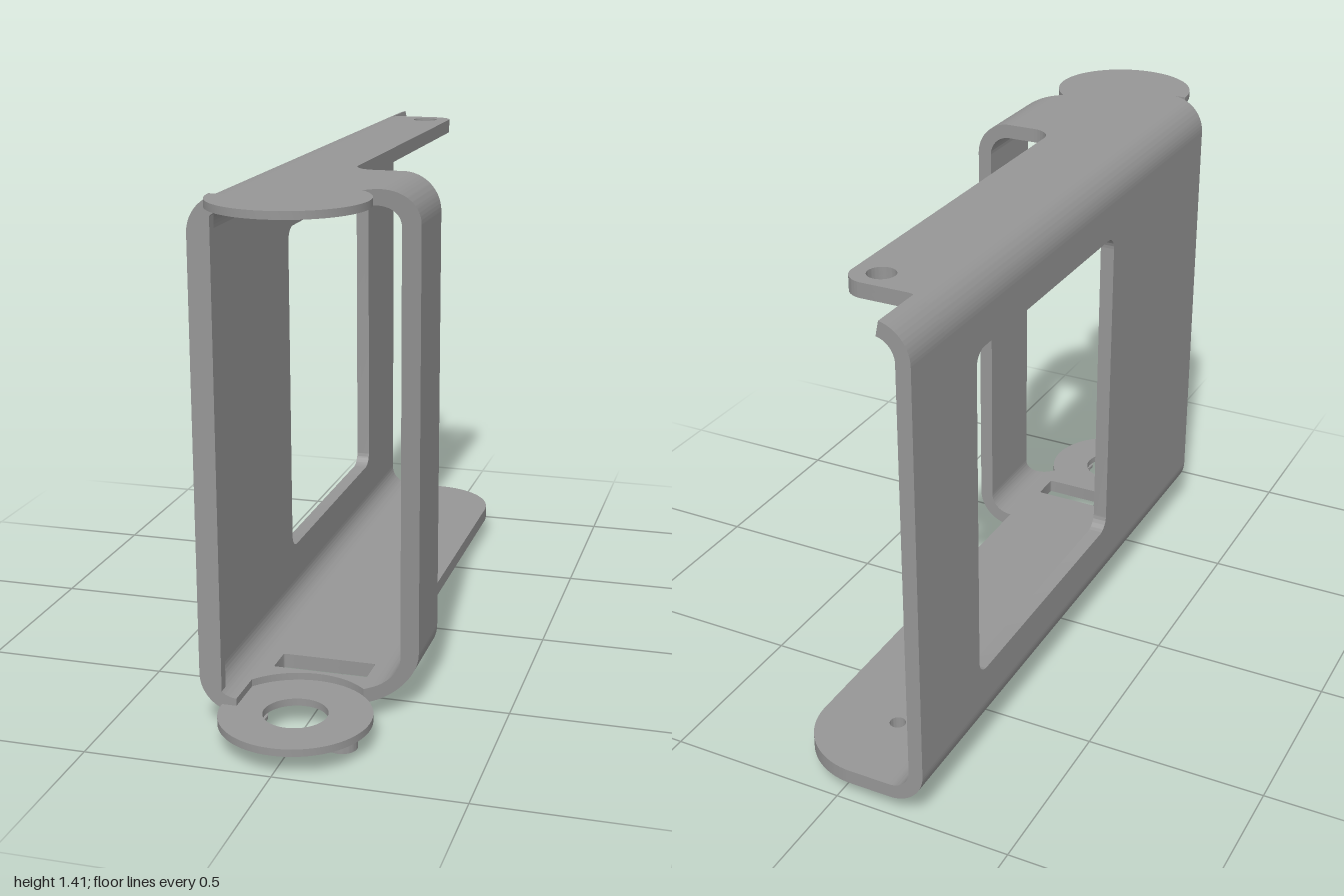
import * as THREE from 'three';
import { toCreasedNormals } from 'three/addons/utils/BufferGeometryUtils.js';

const R = 0.1, T = 0.04;              // corner radius and sheet thickness
const TOP = 1.41, BASE = 0.058;       // outer faces of the two plates
const XC = 0.16;                      // where plates meet the rounded corners
const DZ = 0.8, DR = 0.2;             // front disc centre and radius

export function createModel() {
  const group = new THREE.Group();
  const grey = new THREE.MeshStandardMaterial({ color: 0x969696 });
  grey.name = 'grey';

  const add = (name, geo) => {
    const mesh = new THREE.Mesh(toCreasedNormals(geo, 0.5), grey);
    mesh.name = name;
    group.add(mesh);
  };
  const extrude = (shape, depth) =>
    new THREE.ExtrudeGeometry(shape, { depth, bevelEnabled: false, curveSegments: 24 });
  // Extrude an (x, z) outline downwards from height y
  const slab = (name, shape, y, depth) =>
    add(name, extrude(shape, depth).rotateX(Math.PI / 2).translate(0, y, 0));
  const circle = (x, z, r) => new THREE.Path().absarc(x, z, r, 0, Math.PI * 2, true);
  const ring = (name, x, z, r, hole, y, depth) => {
    const s = new THREE.Shape().absarc(x, z, r, 0, Math.PI * 2, false);
    if (hole) s.holes.push(circle(x, z, hole));
    slab(name, s, y, depth);
  };
  const rect = (x0, y0, x1, y1, r) => {
    const p = new THREE.Path();
    p.moveTo(x0 + r, y0);
    p.lineTo(x1 - r, y0);
    p.absarc(x1 - r, y0 + r, r, -Math.PI / 2, 0, false);
    p.lineTo(x1, y1 - r);
    p.absarc(x1 - r, y1 - r, r, 0, Math.PI / 2, false);
    p.lineTo(x0 + r, y1);
    p.absarc(x0 + r, y1 - r, r, Math.PI / 2, Math.PI, false);
    p.lineTo(x0, y0 + r);
    p.absarc(x0 + r, y0 + r, r, Math.PI, Math.PI * 1.5, false);
    return p;
  };

  // Long side wall with its window
  const wall = new THREE.Shape([[-1, BASE + R], [DZ, BASE + R], [DZ, TOP - R], [-1, TOP - R]]
    .map(p => new THREE.Vector2(...p)));
  wall.holes.push(rect(-0.685, 0.265, 0.14, 1.21, 0.04));
  add('sideWall', extrude(wall, T).rotateY(-Math.PI / 2).translate(-0.22, 0, 0));

  // Lip along the wall's front edge
  add('wallLip', new THREE.BoxGeometry(0.02, TOP - BASE - 2 * T, 0.03)
    .translate(-0.21, (TOP + BASE) / 2, 0.785));

  // Rounded bends between walls and plates
  const bend = (name, cx, cy, a0, a1, z0, z1, mitre) => {
    const s = new THREE.Shape();
    s.absarc(cx, cy, R, a0, a1, false);
    s.absarc(cx, cy, R - T, a1, a0, true);
    const g = extrude(s, z1 - z0).translate(0, 0, z0);
    if (mitre) {
      const p = g.attributes.position;
      for (let i = 0; i < p.count; i++)
        if (p.getZ(i) > z0 + 0.01) p.setZ(i, DZ - p.getX(i));
    }
    add(name, g);
  };
  const H = Math.PI / 2, yT = TOP - R, yB = BASE + R;
  bend('upperWallBend', -XC, yT, H, 2 * H, -0.84, DZ);
  bend('upperWallBendRear', -XC, yT, H + 0.2, 2 * H, -1, -0.84);
  bend('lowerWallBend', -XC, yB, 2 * H, 3 * H, -1, DZ);
  bend('upperStrapBend', XC, yT, 0, H, 0.33, 0.54, true);
  bend('lowerStrapBend', XC, yB, 3 * H, 4 * H, 0.33, 0.54, true);

  // Short strap on the open side, mitred at the front
  slab('strap', new THREE.Shape([[0.22, 0.33], [0.26, 0.33], [0.26, 0.54], [0.22, 0.58]]
    .map(p => new THREE.Vector2(...p))), yT, yT - yB);

  // Plate outline: rear edge is given, front is a full disc or a disc-shaped recess
  const plate = (rear, disc, holes) => {
    const s = new THREE.Shape();
    rear(s);
    s.lineTo(XC, 0.33);
    s.lineTo(XC, 0.64);
    s.lineTo(0.1414, 0.6586);
    if (disc) {
      s.absarc(0, DZ, DR, -Math.PI / 4, Math.PI, false);
      s.lineTo(-XC, DZ);
    } else {
      s.absarc(0, DZ, DR, -Math.PI / 4, -Math.acos(-0.8), true);
    }
    s.holes.push(...holes);
    return s;
  };
  const topRear = s => {
    s.moveTo(-XC, -0.84);
    s.lineTo(-0.04, -0.84);
    s.absarc(-0.04, -0.78, 0.06, -H, 0, false);
    s.lineTo(0.02, 0.27);
    s.absarc(0.08, 0.27, 0.06, Math.PI, H, true);
  };
  const baseRear = s => {
    s.moveTo(-XC, -1);
    s.lineTo(-0.045, -1);
    s.absarc(-0.045, -0.8, 0.2, -H, 0, false);
    s.lineTo(0.155, 0.33);
  };
  const topHole = () => circle(-0.055, -0.77, 0.037);
  const baseHole = () => circle(-0.055, -0.77, 0.022);
  const slot = () => rect(-0.13, 0.5, 0.13, 0.585, 0.005);
  slab('topPlateOuter', plate(topRear, true, [topHole()]), TOP, T / 2);
  slab('topPlateInner', plate(topRear, false, [topHole()]), TOP - T / 2, T / 2);
  slab('basePlateOuter', plate(baseRear, true, [baseHole(), slot(), circle(0, DZ, 0.085)]),
    BASE + T / 2, T / 2);
  slab('basePlateInner', plate(baseRear, false, [baseHole(), slot()]), BASE + T, T / 2);

  // Hub under the top disc, rear foot and two front pegs
  ring('topHub', 0, DZ, 0.085, 0, TOP - T / 2, 0.02);
  ring('rearFoot', -0.055, -0.77, 0.085, 0.045, BASE, 0.048);
  for (const side of [-1, 1]) {
    ring('pegFlange', side * 0.125, DZ, 0.048, 0.018, BASE, 0.01);
    ring('peg', side * 0.125, DZ, 0.04, 0.018, BASE - 0.01, 0.048);
  }
  return group;
}
